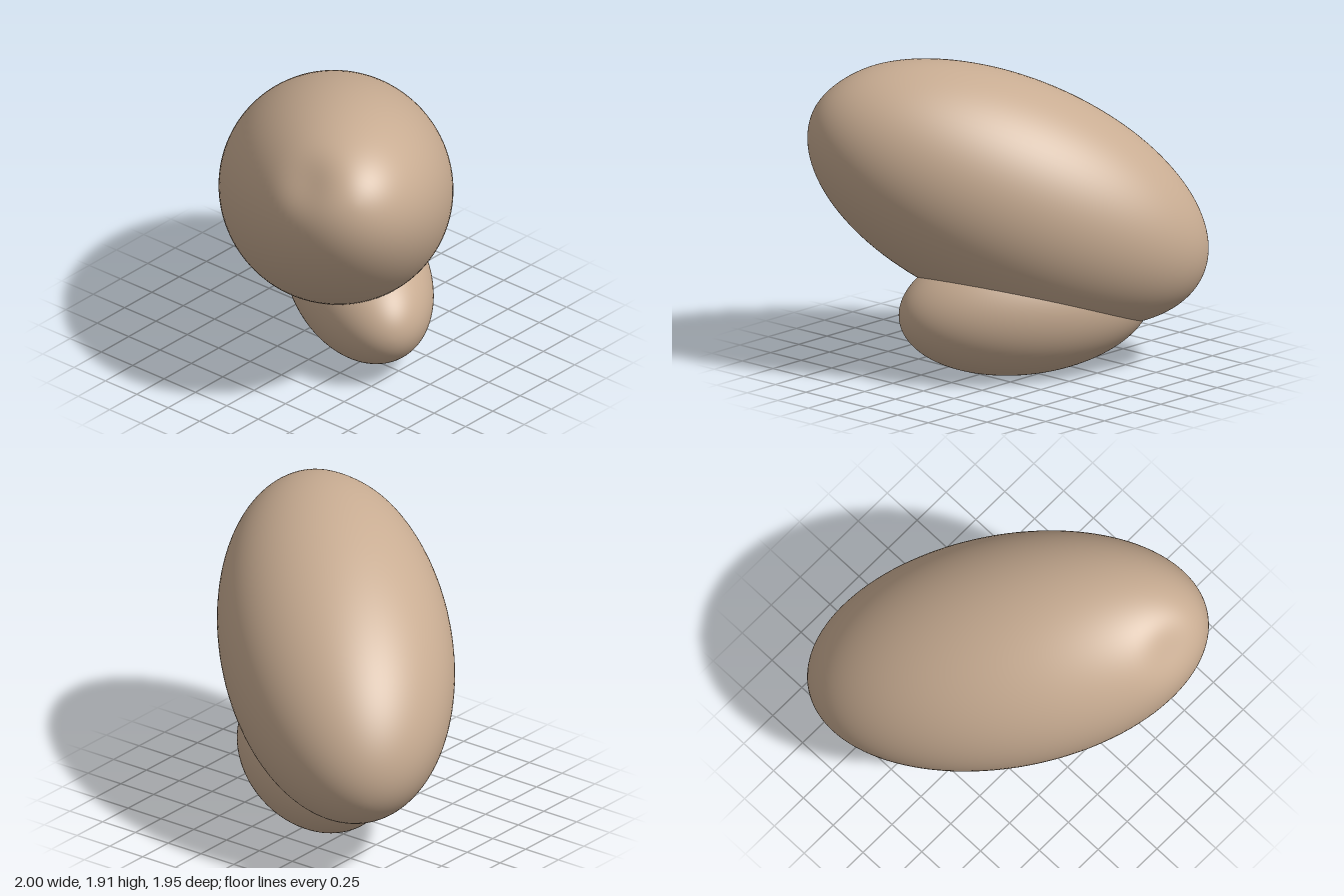
import * as THREE from 'three';
import { mergeVertices } from 'three/addons/utils/BufferGeometryUtils.js';

// A prolate spheroid: centre, long axis direction, half length and radius
function spheroid(center, axis, halfLength, radius) {
  const turn = new THREE.Quaternion().setFromUnitVectors(
    new THREE.Vector3(0, 1, 0), new THREE.Vector3(...axis).normalize());
  const matrix = new THREE.Matrix4().compose(
    new THREE.Vector3(...center), turn, new THREE.Vector3(radius, halfLength, radius));
  return { matrix, inverse: matrix.clone().invert() };
}

// Smooth surface of a spheroid, optionally reshaped by a rule on each vertex
function surface(body, reshape) {
  let geo = new THREE.SphereGeometry(1, 96, 64);
  geo.deleteAttribute('uv');
  geo.deleteAttribute('normal');
  geo = mergeVertices(geo, 1e-4);
  geo.applyMatrix4(body.matrix);
  if (reshape) {
    const pos = geo.attributes.position;
    const v = new THREE.Vector3();
    for (let i = 0; i < pos.count; i++) {
      reshape(v.fromBufferAttribute(pos, i));
      pos.setXYZ(i, v.x, v.y, v.z);
    }
  }
  geo.computeVertexNormals();
  return geo;
}

// Drop the triangles that lie wholly inside the other body
function trim(geo, other) {
  const pos = geo.attributes.position;
  const v = new THREE.Vector3();
  const inside = (i) => v.fromBufferAttribute(pos, i).applyMatrix4(other.inverse).length() < 0.97;
  const old = geo.index.array;
  const kept = [];
  for (let i = 0; i < old.length; i += 3) {
    const tri = [old[i], old[i + 1], old[i + 2]];
    if (!tri.every(inside)) kept.push(...tri);
  }
  geo.setIndex(kept);
  return geo;
}

export function createModel() {
  const group = new THREE.Group();
  const stone = new THREE.MeshStandardMaterial({ color: 0xc8ac92 });
  stone.name = 'warm tan';

  const large = spheroid([0, 1.075, 0], [0.665, 0.41, 0.628], 1.287, 0.7);
  const small = spheroid([0.03, 0.415, -0.17], [0.832, -0.055, 0.555], 0.778, 0.42);

  // Shallow flattened spot on the raised end of the large lobe
  const spot = new THREE.Vector3(0.53, 1.68, 0.88);
  const inward = new THREE.Vector3(0, -0.6, -0.8);
  const flatten = (v) => v.addScaledVector(inward, 0.035 * Math.exp(-v.distanceToSquared(spot) / 0.03));

  const parts = [
    ['largeLobe', trim(surface(large, flatten), small)],
    ['smallLobe', trim(surface(small), large)],
  ];
  for (const [name, geo] of parts) {
    const mesh = new THREE.Mesh(geo, stone);
    mesh.name = name;
    group.add(mesh);
  }
  return group;
}
